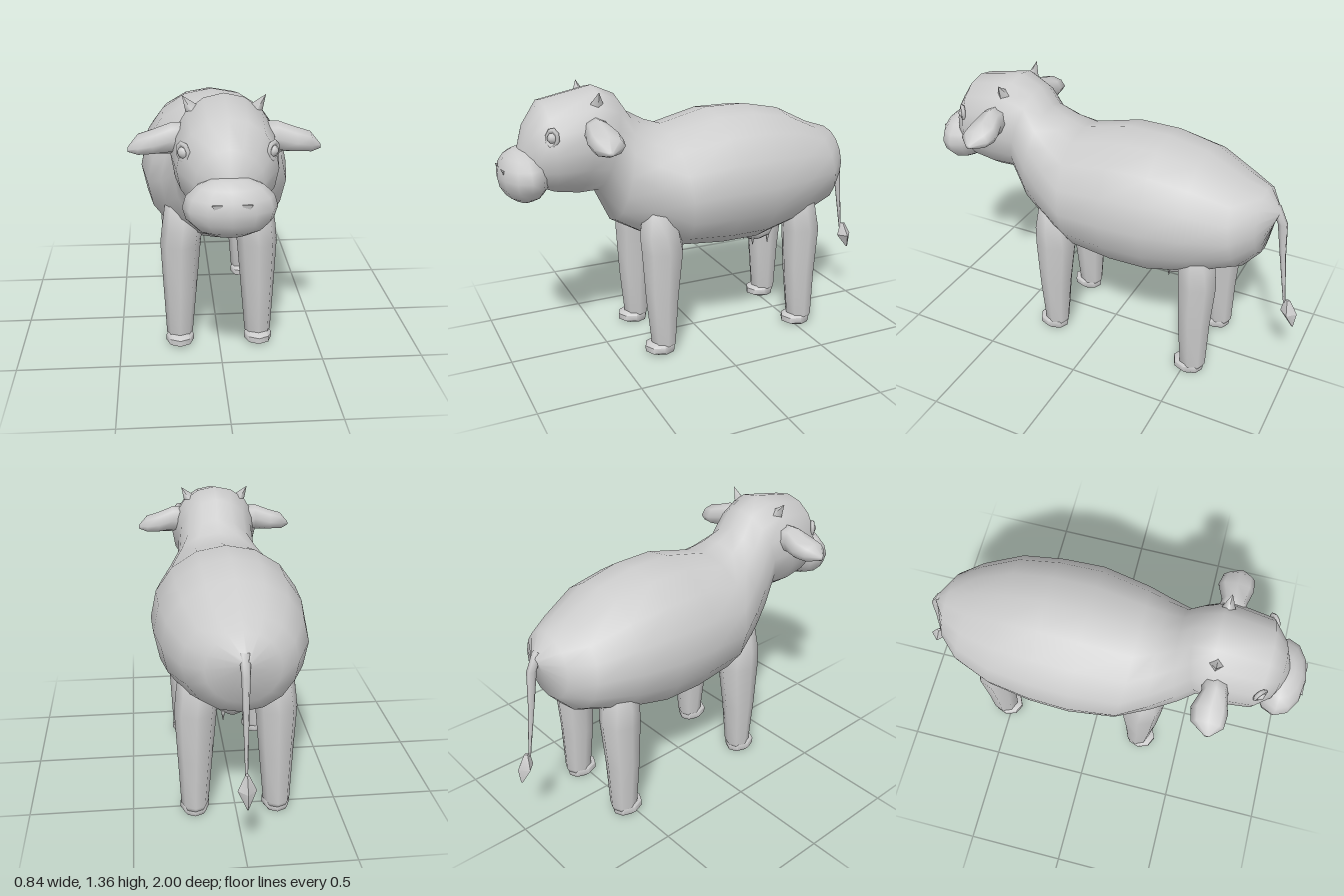
import * as THREE from 'three';
import { toCreasedNormals } from 'three/addons/utils/BufferGeometryUtils.js';

const hide = new THREE.MeshStandardMaterial({ color: 0xcccccc });
hide.name = 'plain grey';
const V = (x, y, z) => new THREE.Vector3(x, y, z);

// Skin a row of elliptical rings { c: centre, u, v: half axes }; u x v points along the row.
function loft(rings, n, crease = 0) {
  const pos = [], idx = [];
  rings.forEach(({ c, u, v }) => {
    for (let j = 0; j < n; j++) {
      const t = (j / n) * Math.PI * 2;
      const p = c.clone().addScaledVector(u, Math.cos(t)).addScaledVector(v, Math.sin(t));
      pos.push(p.x, p.y, p.z);
    }
  });
  const last = (rings.length - 1) * n, capA = rings.length * n, capB = capA + 1;
  pos.push(...rings[0].c.toArray(), ...rings[rings.length - 1].c.toArray());
  for (let j = 0; j < n; j++) {
    const k = (j + 1) % n;
    for (let i = 0; i < last; i += n) {
      idx.push(i + j, i + k, i + n + j, i + k, i + n + k, i + n + j);
    }
    idx.push(capA, k, j, capB, last + j, last + k);
  }
  const g = new THREE.BufferGeometry();
  g.setAttribute('position', new THREE.Float32BufferAttribute(pos, 3));
  g.setIndex(idx);
  g.computeVertexNormals();
  return crease ? toCreasedNormals(g, crease) : g;
}

function add(parent, name, geometry, x = 0, y = 0, z = 0) {
  const m = new THREE.Mesh(geometry, hide);
  m.name = name;
  m.position.set(x, y, z);
  parent.add(m);
  return m;
}

// Rings running downward: [x, y, z, half width, half depth]
const column = (rows) => rows.map(([x, y, z, w, d]) => ({ c: V(x, y, z), u: V(w, 0, 0), v: V(0, 0, d) }));

export function createModel() {
  const cow = new THREE.Group();
  cow.name = 'cow';

  // Rump to forehead: top z, top y, bottom z, bottom y, half width
  const sections = [
    [-0.86, 0.94, -0.83, 0.85, 0.03],
    [-0.78, 1.03, -0.80, 0.71, 0.17],
    [-0.66, 1.07, -0.73, 0.63, 0.26],
    [-0.48, 1.16, -0.52, 0.55, 0.34],
    [-0.28, 1.20, -0.30, 0.49, 0.37],
    [-0.07, 1.20, -0.10, 0.49, 0.378],
    [0.18, 1.14, 0.12, 0.51, 0.345],
    [0.27, 1.17, 0.32, 0.60, 0.28],
    [0.36, 1.22, 0.46, 0.68, 0.22],
    [0.42, 1.31, 0.54, 0.85, 0.205],
    [0.53, 1.36, 0.64, 0.85, 0.235],
    [0.78, 1.31, 0.75, 0.87, 0.215],
    [0.86, 1.20, 0.82, 0.90, 0.145],
    [0.90, 1.08, 0.89, 0.95, 0.05],
  ];
  add(cow, 'bodyAndHead', loft(sections.map(([zt, yt, zb, yb, w]) => ({
    c: V(0, (yt + yb) / 2, (zt + zb) / 2),
    u: V(w, 0, 0),
    v: V(0, (yt - yb) / 2, (zt - zb) / 2),
  })), 16));

  // Muzzle
  const muzzle = new THREE.SphereGeometry(1, 12, 8);
  muzzle.scale(0.197, 0.13, 0.12);
  add(cow, 'muzzle', muzzle, 0, 0.968, 0.878);

  for (const s of [1, -1]) {
    const side = s > 0 ? 'left' : 'right';

    // Ear, swelling toward the end and closing in a blunt tip
    const ear = [
      [0.15, 1.17, 0.57, 0.075, 0.07],
      [0.23, 1.175, 0.575, 0.07, 0.06],
      [0.31, 1.16, 0.57, 0.055, 0.085],
      [0.375, 1.15, 0.575, 0.045, 0.075],
      [0.42, 1.13, 0.585, 0.01, 0.012],
    ];
    add(cow, side + 'Ear', loft(ear.map(([x, y, z, h, d]) => ({
      c: V(s * x, y, z), u: V(0, h, 0), v: V(0, 0, s * d),
    })), 8));

    // Horn
    const horn = add(cow, side + 'Horn', new THREE.ConeGeometry(0.032, 0.075, 4), s * 0.16, 1.325, 0.55);
    horn.rotation.z = -s * 0.6;

    // Eye: bulging ball inside a faceted lid
    const eye = new THREE.Group();
    eye.name = side + 'Eye';
    eye.position.set(s * 0.18, 1.17, 0.77);
    eye.rotation.set(0, s * 0.75, -s * 0.25);
    cow.add(eye);
    const lid = new THREE.TorusGeometry(0.032, 0.011, 5, 8);
    lid.scale(0.9, 1.15, 1);
    add(eye, 'eyelid', lid, 0, 0, 0.008);
    const ball = new THREE.SphereGeometry(0.026, 8, 6);
    add(eye, 'eyeball', ball, 0, 0, 0.005);

    // Nostril: small three-sided point
    const nostril = new THREE.ConeGeometry(0.026, 0.05, 3);
    nostril.rotateX(Math.PI);
    add(cow, side + 'Nostril', toCreasedNormals(nostril, 0.5), s * 0.06, 0.987, 0.974);

    // Legs and hooves
    const legs = [
      ['Front', 0.265, 0.26, 0.11, 0.065, 0.20],
      ['Back', -0.525, -0.54, 0.10, 0.07, 0.20],
    ];
    for (const [end, zTop, zFoot, dTop, dFoot, x] of legs) {
      add(cow, side + end + 'Leg', loft(column([
        [s * 0.17, 0.78, zTop, 0.09, dTop * 0.7],
        [s * 0.18, 0.64, zTop, 0.10, dTop * 0.95],
        [s * 0.19, 0.55, zTop - 0.01, 0.10, dTop],
        [s * 0.195, 0.30, (zTop + zFoot) / 2, 0.083, (dTop + dFoot) / 2],
        [s * x, 0.05, zFoot, 0.066, dFoot],
        [s * x, 0.02, zFoot, 0.05, dFoot * 0.8],
      ]), 8));
      add(cow, side + end + 'Hoof', loft(column([
        [s * x, 0.06, zFoot + 0.015, 0.055, 0.055],
        [s * x, 0.045, zFoot + 0.02, 0.07, 0.08],
        [s * x, 0.015, zFoot + 0.02, 0.07, 0.08],
        [s * x, 0, zFoot + 0.005, 0.055, 0.06],
      ]), 8, 0.9));
    }

    // Teats
    for (const z of [-0.33, -0.42]) {
      const teat = new THREE.ConeGeometry(0.012, 0.06, 5);
      teat.rotateX(Math.PI);
      add(cow, side + 'Teat', teat, s * 0.05, 0.45, z);
    }
  }

  // Udder
  add(cow, 'udder', loft(column([
    [0, 0.54, -0.36, 0.10, 0.13],
    [0, 0.48, -0.36, 0.09, 0.09],
    [0, 0.445, -0.37, 0.03, 0.04],
  ]), 8));

  // Tail, tapering to a thin end
  add(cow, 'tail', loft(column([
    [0, 0.96, -0.83, 0.025, 0.025],
    [0, 0.87, -0.873, 0.02, 0.025],
    [0, 0.70, -0.892, 0.014, 0.016],
    [0, 0.42, -0.93, 0.006, 0.006],
  ]), 6));

  // Tuft of hair
  add(cow, 'tailTuft', loft(column([
    [0, 0.44, -0.945, 0.008, 0.015],
    [0, 0.37, -0.958, 0.042, 0.042],
    [0, 0.29, -0.985, 0.003, 0.005],
  ]), 4, 0.5));

  return cow;
}
